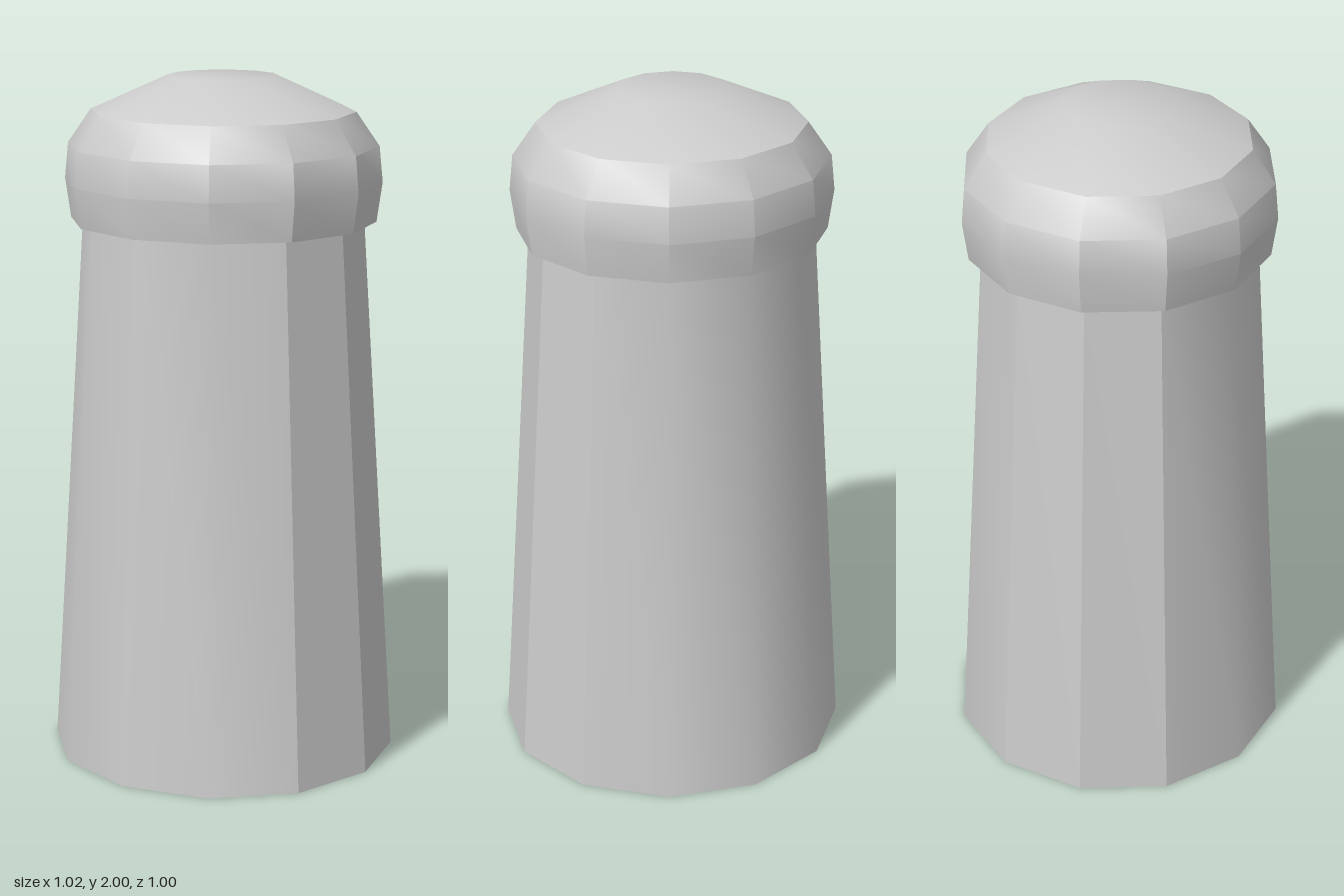
import * as THREE from 'three';
import { toCreasedNormals } from 'three/addons/utils/BufferGeometryUtils.js';

const SIDES = 12;
const X_STRETCH = 1.024; // the round section is slightly wider than deep

export function createModel() {
  const group = new THREE.Group();
  group.name = 'cappedPost';
  const material = new THREE.MeshStandardMaterial({ color: 0xcccccc, side: THREE.DoubleSide });

  // Twelve-sided turned part from [radius, height] pairs, bottom to top
  function turned(name, profile) {
    const points = profile.map(([r, y]) => new THREE.Vector2(r, y));
    const geometry = new THREE.LatheGeometry(points, SIDES);
    geometry.scale(X_STRETCH, 1, 1);
    const mesh = new THREE.Mesh(toCreasedNormals(geometry, Math.PI / 6), material);
    mesh.name = name;
    group.add(mesh);
  }

  // Tapered hollow shaft, open at the bottom
  turned('shaft', [[0.5, 0], [0.402, 1.585]]);

  // Rounded cap with an overhanging lip
  turned('cap', [
    [0.402, 1.585], [0.436, 1.585], [0.452, 1.7], [0.442, 1.803],
    [0.376, 1.9], [0.157, 2], [0, 2],
  ]);

  return group;
}
